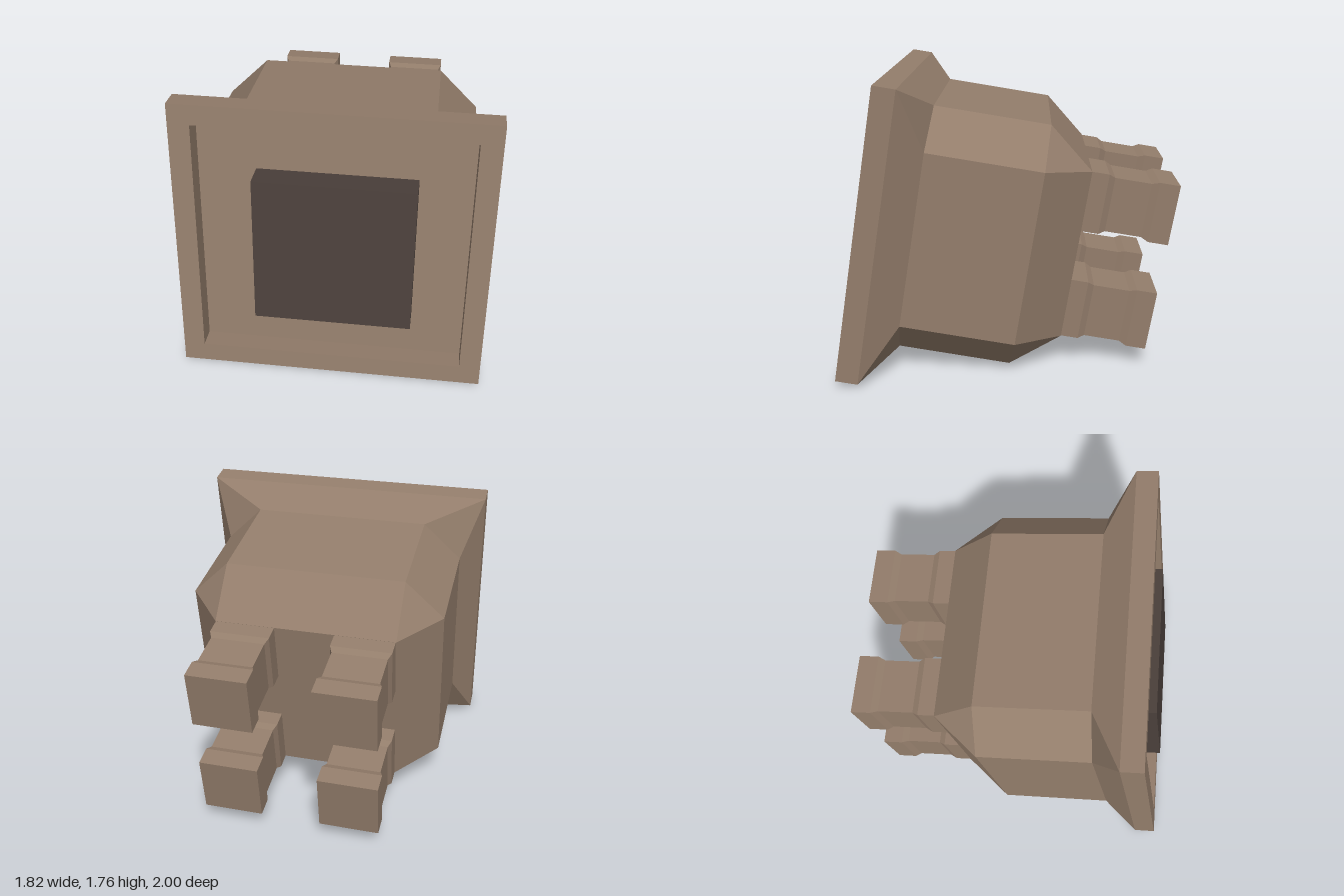
import * as THREE from 'three';

const TILT = 0.162;
const brown = new THREE.MeshStandardMaterial({ color: 0x937d6b, flatShading: true });
const dark = new THREE.MeshStandardMaterial({ color: 0x4b403b, flatShading: true });

// Octagonal ring at depth z; with no cut values it becomes a plain rectangle.
function ring(z, a, b, c = a, d = b) {
  return [[a, -d], [a, d], [c, b], [-c, b], [-a, d], [-a, -d], [-c, -b], [c, -b]]
    .map(([x, y]) => new THREE.Vector3(x, y, z));
}

// Faceted skin through rings ordered from front to back, closed at both ends.
function loft(rings) {
  const pos = [];
  const area = new THREE.Triangle();
  const tri = (a, b, c) => {
    if (area.set(a, b, c).getArea() > 1e-7) pos.push(...a, ...b, ...c);
  };
  for (let i = 0; i < rings.length - 1; i++) {
    const A = rings[i], B = rings[i + 1];
    for (let j = 0; j < 8; j++) {
      const k = (j + 1) % 8;
      tri(A[j], B[j], B[k]);
      tri(A[j], B[k], A[k]);
    }
  }
  const first = rings[0], last = rings[rings.length - 1];
  for (let j = 1; j < 7; j++) {
    tri(first[0], first[j], first[j + 1]);
    tri(last[0], last[j + 1], last[j]);
  }
  const geo = new THREE.BufferGeometry();
  geo.setAttribute('position', new THREE.Float32BufferAttribute(pos, 3));
  geo.computeVertexNormals();
  return geo;
}

export function createModel() {
  const model = new THREE.Group();
  model.name = 'tiltedSocketBlock';

  // Everything is built along its own axis, then leaned back.
  const block = new THREE.Group();
  block.name = 'block';
  block.position.set(0, 0.91, 0.86);
  block.rotation.x = -TILT;
  model.add(block);

  const add = (name, geometry, material, x = 0, y = 0, z = 0) => {
    const mesh = new THREE.Mesh(geometry, material);
    mesh.name = name;
    mesh.position.set(x, y, z);
    block.add(mesh);
  };

  // Housing: recessed square front plate, flare, chamfered body, tapered back
  add('housing', loft([
    ring(-0.125, 0.785, 0.75),
    ring(0, 0.785, 0.75),
    ring(0, 0.91, 0.87),
    ring(-0.131, 0.91, 0.87),
    ring(-0.314, 0.785, 0.755, 0.55, 0.525),
    ring(-0.995, 0.785, 0.755, 0.55, 0.525),
    ring(-1.277, 0.55, 0.522),
  ]), brown);

  // Dark slab standing in the recess
  add('frontPanel', new THREE.BoxGeometry(0.925, 0.918, 0.173), dark, 0.0125, -0.013, -0.0535);

  // Four waisted pegs on the back
  const peg = loft([
    [-1.26, 0], [-1.38, 0], [-1.418, 0.018], [-1.636, 0.018], [-1.678, 0], [-1.8, 0],
  ].map(([z, inset]) => ring(z, 0.182 - inset, 0.183 - inset)));
  for (const [side, sx] of [['Left', 1], ['Right', -1]]) {
    for (const [level, sy] of [['upper', 1], ['lower', -1]]) {
      add(`${level}${side}Peg`, peg, brown, sx * 0.365, sy * 0.338);
    }
  }
  return model;
}
